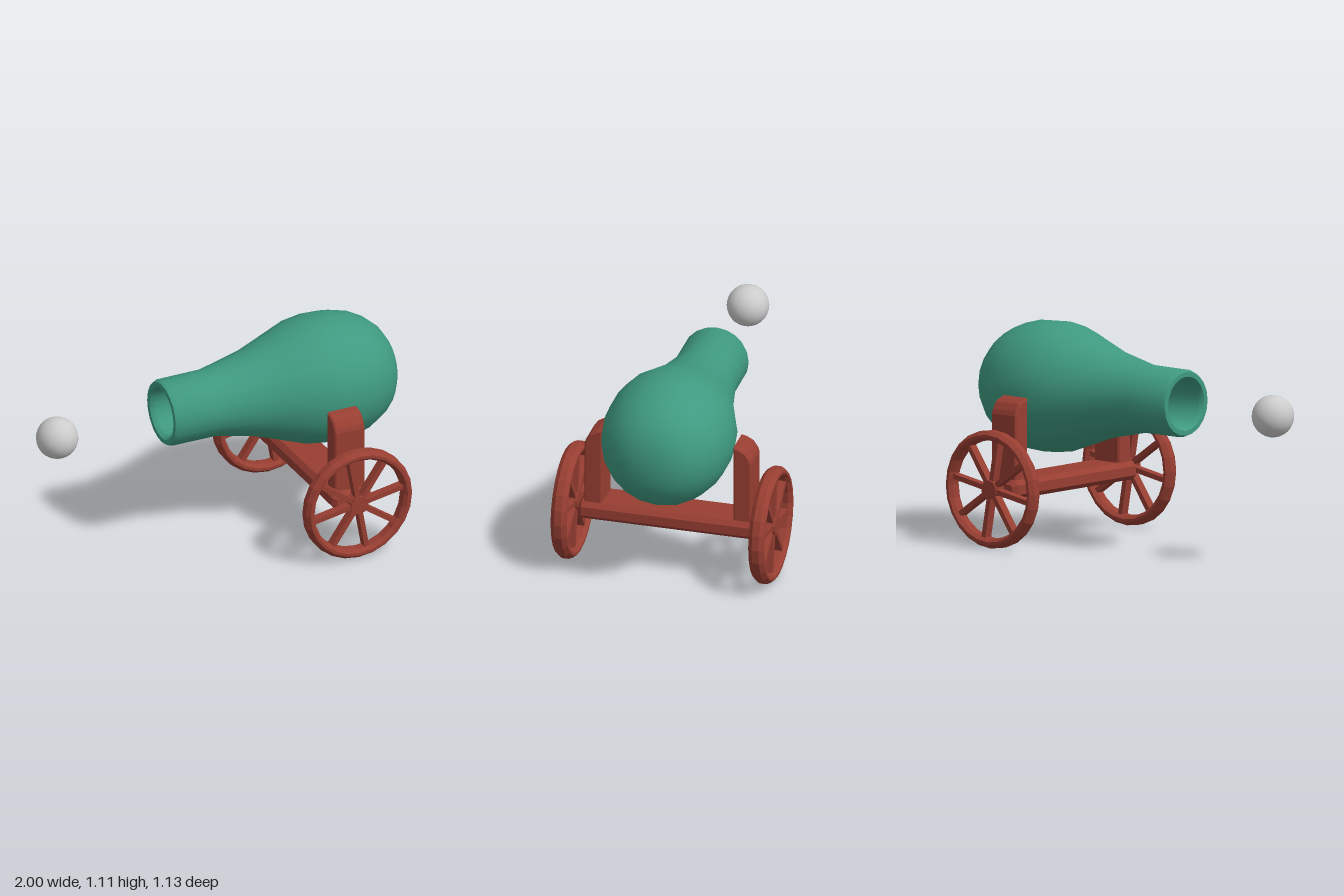
import * as THREE from 'three';
import { toCreasedNormals } from 'three/addons/utils/BufferGeometryUtils.js';

const green = new THREE.MeshStandardMaterial({ color: 0x3f9a80 });
const wood = new THREE.MeshStandardMaterial({ color: 0x983e32, flatShading: true });
const grey = new THREE.MeshStandardMaterial({ color: 0xcccccc });

const points = (list) => list.map(([x, y]) => new THREE.Vector2(x, y));

function part(name, geometry, material) {
  const mesh = new THREE.Mesh(geometry, material);
  mesh.name = name;
  return mesh;
}

// Extruded outline with chamfered edges, centred on its depth; the bevel stays inside the outline
function chamferedExtrude(outline, depth, bevel) {
  const geometry = new THREE.ExtrudeGeometry(new THREE.Shape(points(outline)), {
    depth: depth - 2 * bevel, bevelEnabled: true, bevelSegments: 1,
    bevelThickness: bevel, bevelSize: bevel, bevelOffset: -bevel,
  });
  return geometry.translate(0, 0, bevel - depth / 2);
}

// Hollow barrel, muzzle towards -x: [radius, x]
function makeBarrel() {
  const profile = points([
    [0, 0.1], [0.125, 0.1], [0.125, -0.275], [0.14, -0.297], [0.165, -0.297], [0.175, -0.275],
    [0.176, -0.03], [0.226, 0.2], [0.275, 0.34], [0.325, 0.48], [0.34, 0.59], [0.334, 0.7],
    [0.308, 0.8], [0.265, 0.88], [0.215, 0.935], [0.155, 0.972], [0.093, 0.992], [0, 0.997],
  ]);
  const geometry = new THREE.LatheGeometry(profile, 20).rotateZ(-Math.PI / 2);
  const barrel = part('barrel', toCreasedNormals(geometry, 0.65), green);
  barrel.position.y = 0.775;
  return barrel;
}

// Wheel in the xy plane: chamfered rim, hub and eight spokes
function makeWheel() {
  const wheel = new THREE.Group();
  const rimProfile = points([
    [0.254, -0.022], [0.27, -0.041], [0.285, -0.041], [0.304, -0.018], [0.304, 0.018],
    [0.285, 0.041], [0.27, 0.041], [0.254, 0.022], [0.254, -0.022],
  ]);
  wheel.add(part('wheelRim', new THREE.LatheGeometry(rimProfile, 24).rotateX(Math.PI / 2), wood));
  wheel.add(part('wheelHub', new THREE.CylinderGeometry(0.05, 0.05, 0.066, 10).rotateX(Math.PI / 2), wood));
  for (let i = 0; i < 8; i++) {
    const spoke = part('wheelSpoke', new THREE.BoxGeometry(0.23, 0.026, 0.046).translate(0.15, 0, 0), wood);
    spoke.rotation.z = Math.PI / 18 + i * Math.PI / 4;
    wheel.add(spoke);
  }
  return wheel;
}

// Upright cheek with a rounded outer shoulder: [z, y]
function makeUpright() {
  const outline = [
    [0.348, 0.34], [0.443, 0.34], [0.443, 0.68], [0.435, 0.705], [0.412, 0.74], [0.378, 0.758], [0.348, 0.765],
  ];
  return part('upright', chamferedExtrude(outline, 0.17, 0.008).rotateY(-Math.PI / 2), wood);
}

export function createModel() {
  const model = new THREE.Group();
  model.name = 'cannon';
  model.add(makeBarrel());

  // Carriage
  const carriage = new THREE.Group();
  carriage.name = 'carriage';
  carriage.position.x = 0.56;
  const w = 0.11, h = 0.048, c = 0.024;
  const axleOutline = [
    [-w, c - h], [c - w, -h], [w - c, -h], [w, c - h], [w, h - c], [w - c, h], [c - w, h], [-w, h - c],
  ];
  const axle = part('axleBeam', chamferedExtrude(axleOutline, 0.95, 0.022), wood);
  axle.position.y = 0.303;
  carriage.add(axle);

  for (const side of [1, -1]) {
    const upright = makeUpright();
    upright.rotation.y = side > 0 ? 0 : Math.PI;
    const wheel = makeWheel();
    wheel.name = side > 0 ? 'frontWheel' : 'backWheel';
    wheel.position.set(0, 0.306, side * 0.524);
    carriage.add(upright, wheel);
  }
  model.add(carriage);

  // Ball in flight ahead of the muzzle
  const ball = part('cannonball', new THREE.SphereGeometry(0.109, 24, 16), grey);
  ball.position.set(-0.891, 0.772, 0);
  model.add(ball);
  return model;
}
